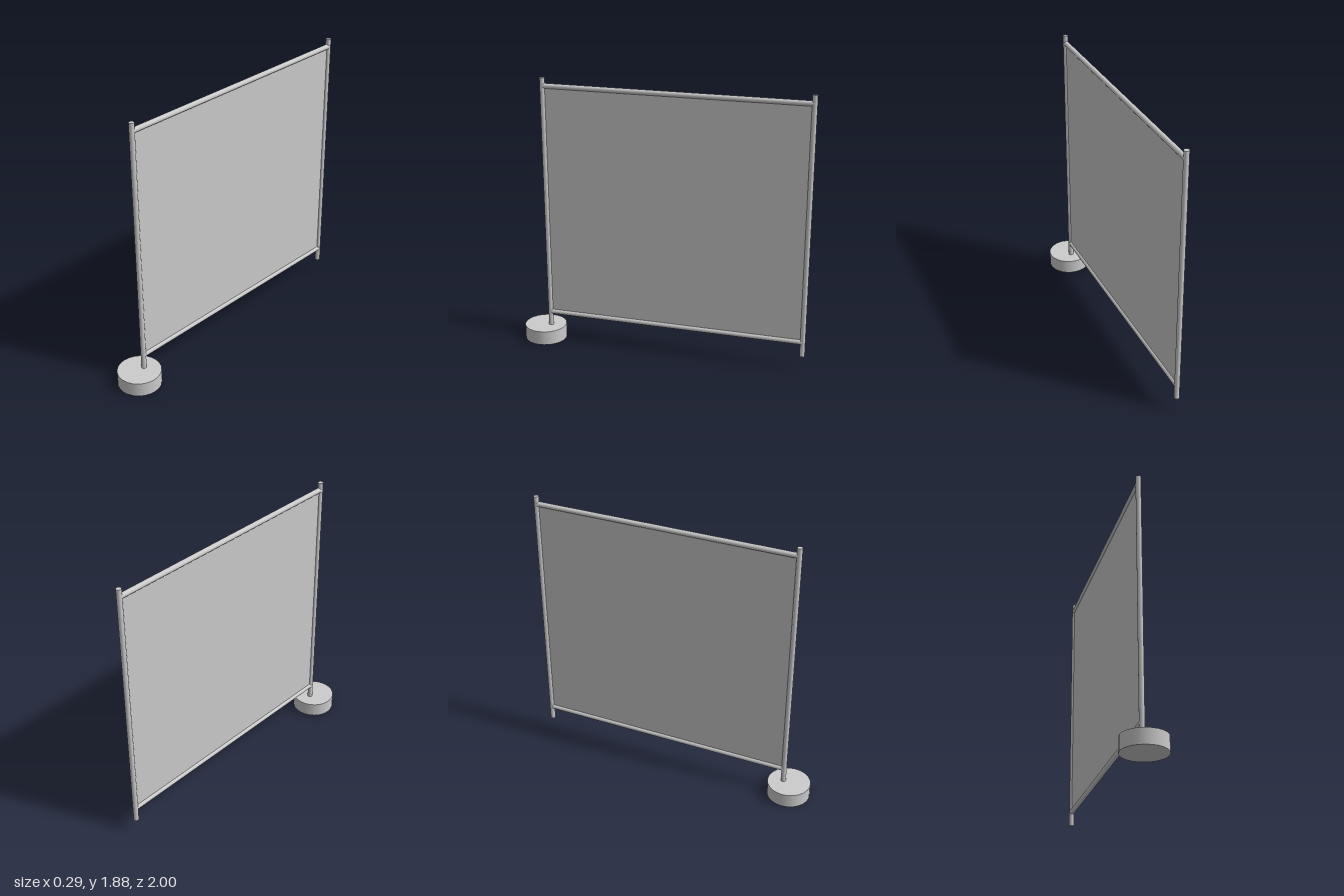
import * as THREE from 'three';

export function createModel() {
  const group = new THREE.Group();
  const material = new THREE.MeshStandardMaterial({ color: 0xcccccc });
  const tubeRadius = 0.0175;
  const frontZ = 0.812, backZ = -0.982;
  const span = frontZ - backZ, midZ = (frontZ + backZ) / 2;
  const bottomRailY = 0.201, topRailY = 1.826;

  const add = (name, geometry, x, y, z) => {
    const mesh = new THREE.Mesh(geometry, material);
    mesh.name = name;
    mesh.position.set(x, y, z);
    group.add(mesh);
    return mesh;
  };

  // Round weighted foot, set slightly outside the front post
  add('base', new THREE.CylinderGeometry(0.147, 0.147, 0.1, 24), 0, 0.05, 0.853);

  // Upright posts
  for (const [name, z] of [['frontPost', frontZ], ['backPost', backZ]]) {
    add(name, new THREE.CylinderGeometry(tubeRadius, tubeRadius, 1.78, 16), 0, 0.99, z);
  }

  // Horizontal rails between the posts
  for (const [name, y] of [['bottomRail', bottomRailY], ['topRail', topRailY]]) {
    add(name, new THREE.CylinderGeometry(tubeRadius, tubeRadius, span, 16), 0, y, midZ).rotation.x = Math.PI / 2;
  }

  // Thin panel filling the frame
  add('panel', new THREE.BoxGeometry(0.006, topRailY - bottomRailY, span),
    0, (topRailY + bottomRailY) / 2, midZ);

  return group;
}
